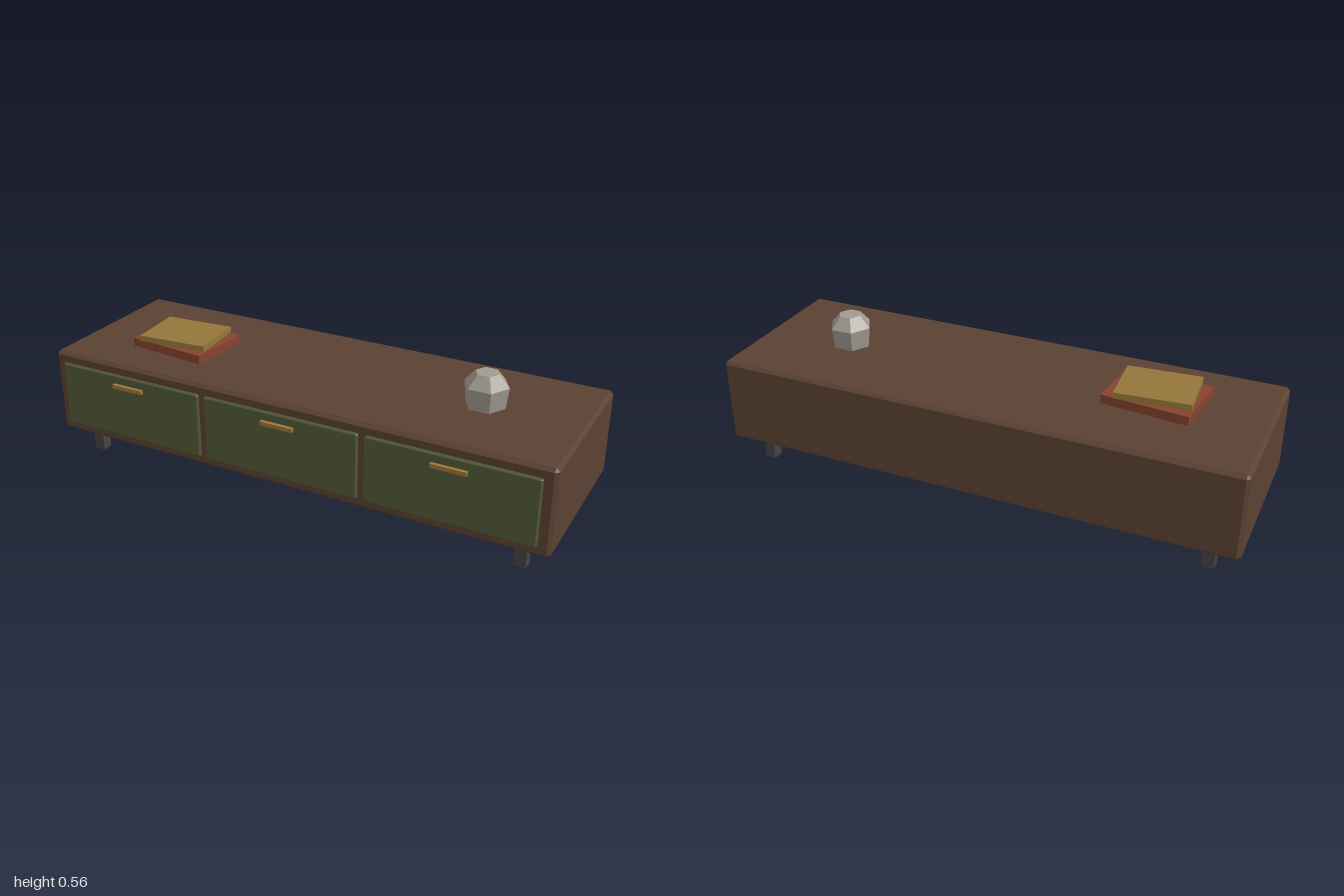
import * as THREE from 'three';
import { ConvexGeometry } from 'three/addons/geometries/ConvexGeometry.js';

const paint = (name, color) => {
  const m = new THREE.MeshStandardMaterial({ color });
  m.name = name;
  return m;
};

// Box with a flat chamfer c on every edge
function chamferBox(w, h, d, c) {
  const points = [];
  for (const sx of [-1, 1]) for (const sy of [-1, 1]) for (const sz of [-1, 1]) {
    const x = w / 2, y = h / 2, z = d / 2;
    points.push(
      new THREE.Vector3(sx * x, sy * (y - c), sz * (z - c)),
      new THREE.Vector3(sx * (x - c), sy * y, sz * (z - c)),
      new THREE.Vector3(sx * (x - c), sy * (y - c), sz * z));
  }
  return new ConvexGeometry(points);
}

export function createModel() {
  const group = new THREE.Group();
  group.name = 'mediaCabinet';
  const wood = paint('dark wood', 0x5a4232);
  const green = paint('olive green', 0x535a3a);
  const brass = paint('brass', 0xa07838);
  const iron = paint('dark iron', 0x444444);
  const red = paint('brick red', 0x87432f);
  const ochre = paint('ochre', 0x94763a);
  const stone = paint('warm grey', 0xa09a90);

  const add = (name, geometry, material, x, y, z, turn = 0) => {
    const mesh = new THREE.Mesh(geometry, material);
    mesh.name = name;
    mesh.position.set(x, y, z);
    mesh.rotation.y = turn;
    group.add(mesh);
  };

  // Cabinet body
  add('body', chamferBox(2, 0.332, 0.664, 0.013), wood, 0, 0.267, -0.014);

  // Three drawer fronts with bar handles
  const drawer = chamferBox(0.622, 0.255, 0.016, 0.006);
  const handle = new THREE.BoxGeometry(0.13, 0.015, 0.016);
  for (const x of [-0.646, 0, 0.646]) {
    add('drawerFront', drawer, green, x, 0.268, 0.325);
    add('drawerHandle', handle, brass, x, 0.354, 0.339);
  }

  // Four square legs
  const leg = new THREE.BoxGeometry(0.044, 0.104, 0.044);
  for (const x of [-0.885, 0.885]) for (const z of [0.232, -0.257]) {
    add('leg', leg, iron, x, 0.052, z);
  }

  // Two stacked books, turned slightly against each other
  add('lowerBook', new THREE.BoxGeometry(0.328, 0.035, 0.25), red, -0.585, 0.4495, 0.028, -0.1);
  add('upperBook', new THREE.BoxGeometry(0.277, 0.023, 0.22), ochre, -0.586, 0.4785, 0.031, 0.08);

  // Six-sided vase: flaring base and tapering shoulder
  const hex = (top, bottom, h, open) =>
    new THREE.CylinderGeometry(top, bottom, h, 6, 1, open, Math.PI / 2).toNonIndexed();
  const base = hex(0.083, 0.073, 0.08, true);
  const shoulder = hex(0.044, 0.083, 0.045, false);
  for (const g of [base, shoulder]) g.computeVertexNormals();
  add('vaseBase', base, stone, 0.635, 0.472, -0.013);
  add('vaseShoulder', shoulder, stone, 0.635, 0.5345, -0.013);

  return group;
}
